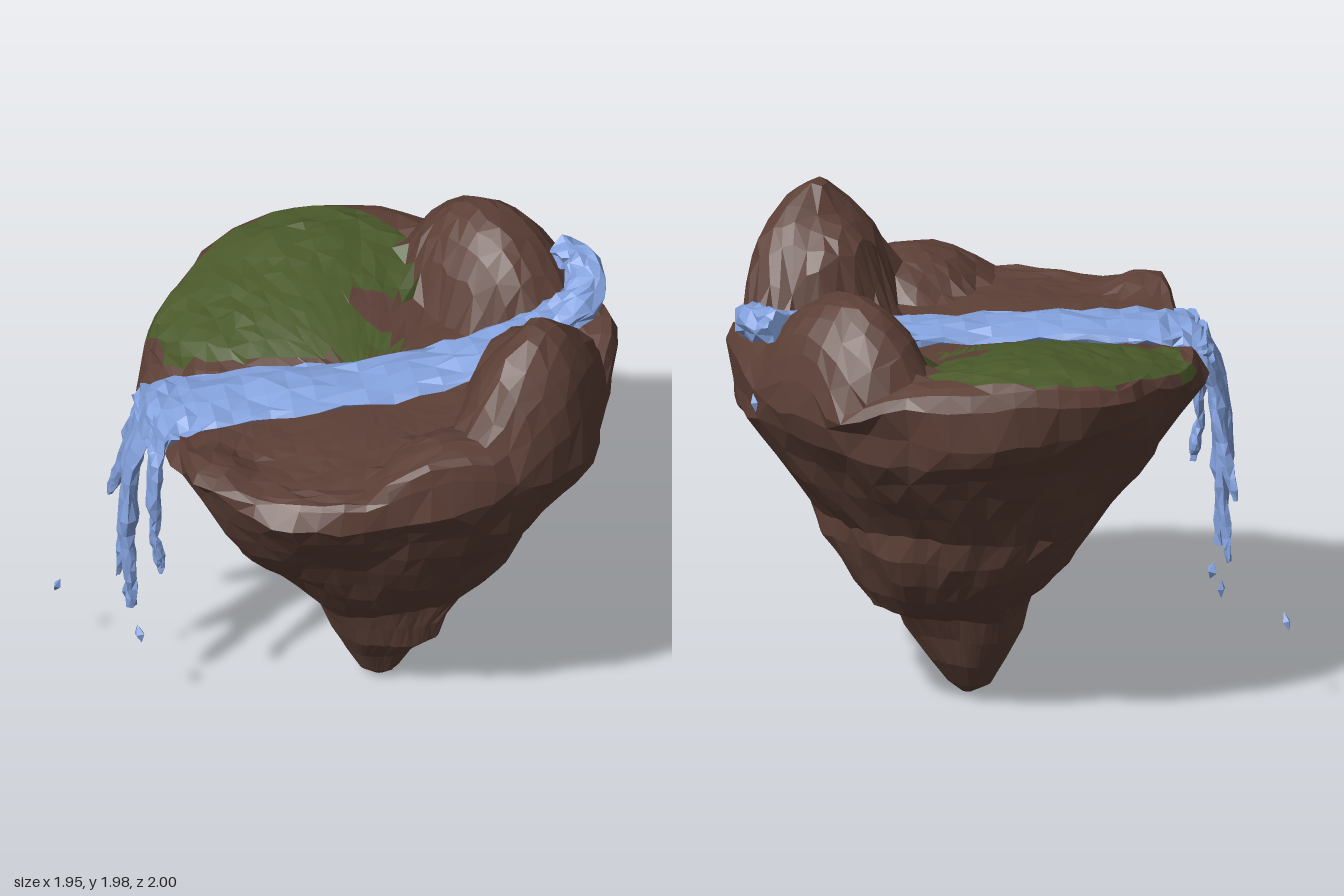
import * as THREE from 'three';

const rock = new THREE.MeshStandardMaterial({ color: 0x5d4037 });
rock.name = 'brown rock';
const grass = new THREE.MeshStandardMaterial({ color: 0x4b5a2b });
grass.name = 'moss green';
const water = new THREE.MeshStandardMaterial({ color: 0x85a3df });
water.name = 'water blue';

const V = (x, y, z) => new THREE.Vector3(x, y, z);
let seed = 7;
const jitter = (a) => {
  seed = (seed * 16807) % 2147483647;
  return (seed / 2147483647 - 0.5) * 2 * a;
};
const average = (points) => points.reduce((s, p) => s.add(p), V(0, 0, 0)).divideScalar(points.length);

// Skin a list of equal rings (with closed ends) in flat facets, sorted by material index.
function loft(rings, pick = () => 0) {
  const sorted = [[], []];
  const tri = (a, b, c) => sorted[pick(average([a, b, c]))].push(a, b, c);
  const n = rings[0].length;
  for (let i = 0; i < rings.length - 1; i++) {
    for (let j = 0; j < n; j++) {
      const k = (j + 1) % n;
      const [a, b, c, d] = [rings[i][j], rings[i][k], rings[i + 1][j], rings[i + 1][k]];
      if ((i + j) % 2) { tri(a, c, b); tri(b, c, d); }
      else { tri(a, c, d); tri(a, d, b); }
    }
  }
  const first = rings[0], last = rings[rings.length - 1];
  const c0 = average(first), c1 = average(last);
  for (let j = 0; j < n; j++) {
    const k = (j + 1) % n;
    tri(c0, first[j], first[k]);
    tri(c1, last[k], last[j]);
  }
  const g = new THREE.BufferGeometry().setFromPoints(sorted.flat());
  g.addGroup(0, sorted[0].length, 0);
  if (sorted[1].length) g.addGroup(sorted[0].length, sorted[1].length, 1);
  g.computeVertexNormals();
  return g;
}

// Island rim, x and z pairs, running from the left side through the front.
const rim = [
  [0.97, -0.1], [0.95, 0.03], [0.9, 0.2], [0.77, 0.4], [0.6, 0.65], [0.4, 0.82], [0.2, 0.92], [0.06, 0.97], [-0.03, 1.0],
  [-0.13, 0.93], [-0.27, 0.82], [-0.45, 0.71], [-0.62, 0.57], [-0.78, 0.42], [-0.88, 0.22], [-0.91, 0],
  [-0.95, -0.12], [-0.91, -0.32], [-0.79, -0.52], [-0.6, -0.73], [-0.4, -0.84], [-0.27, -0.99], [0, -0.97],
  [0.3, -0.95], [0.5, -0.86], [0.65, -0.76], [0.75, -0.57], [0.88, -0.4],
];
// Grass edge
const lawn = [
  [-0.33, -0.66], [-0.6, -0.63], [-0.8, -0.45], [-0.91, -0.2], [-0.87, 0.1], [-0.83, 0.4], [-0.67, 0.42],
  [-0.62, 0.5], [-0.42, 0.3], [-0.1, 0.02], [0.06, -0.22], [-0.24, -0.18], [-0.31, -0.26], [-0.12, -0.44], [-0.35, -0.6],
];

function onLawn(p) {
  let inside = false;
  lawn.forEach(([x1, z1], i) => {
    const [x2, z2] = lawn[(i + 1) % lawn.length];
    if ((z1 > p.z) !== (z2 > p.z) && p.x < x1 + ((p.z - z1) / (z2 - z1)) * (x2 - x1)) inside = !inside;
  });
  return inside;
}

// Pull points lying close to the grass edge onto it so that the border is clean.
function snapToLawn(p) {
  let best = 0.024, hit = null;
  lawn.forEach(([x, z], i) => {
    const [x2, z2] = lawn[(i + 1) % lawn.length];
    const q = new THREE.Line3(V(x, 0, z), V(x2, 0, z2)).closestPointToPoint(V(p.x, 0, p.z), true, V(0, 0, 0));
    const d = Math.hypot(q.x - p.x, q.z - p.z);
    if (d < best) { best = d; hit = q; }
  });
  if (hit) { p.x = hit.x; p.z = hit.z; }
}

// Centre x, centre z, radius x, radius z, height, roundness
const hills = [
  [0.02, -0.72, 0.41, 0.29, 0.38, 0.7],
  [0.75, -0.17, 0.26, 0.38, 0.46, 0.55],
  [0.62, -0.2, 0.18, 0.26, 0.39, 0.45],
  [0.7, 0.32, 0.26, 0.32, 0.16, 0.7],
  [0.53, -0.74, 0.25, 0.28, 0.12, 0.7],
  [-0.6, -0.4, 0.58, 0.8, 0.155, 1],
];
// Small additions: summit, front tip, dip under the falls
const details = [
  [0.77, -0.17, 0.12, 0.14, 0.06, 0.6],
  [-0.02, 0.9, 0.18, 0.16, 0.06, 1],
  [-0.42, 0.66, 0.25, 0.25, -0.04, 1],
];
const dome = ([cx, cz, rx, rz, h, k], x, z) => h * Math.max(0, 1 - ((x - cx) / rx) ** 2 - ((z - cz) / rz) ** 2) ** k;

function ground(x, z, s) {
  const fade = s > 0.99 ? 0.65 : s > 0.96 ? 0.9 : 1;
  let y = Math.max(...hills.map((h) => dome(h, x, z)));
  for (const d of details) y += dome(d, x, z);
  const rounding = s > 0.99 ? 0.025 : 0;
  return 1.455 + y * fade - rounding + 0.012 * Math.sin(7 * x + 3) * Math.cos(8 * z);
}

function makeIsland() {
  const curve = new THREE.CatmullRomCurve3(rim.map(([x, z]) => V(x, 0, z)), true);
  const n = 68;
  const outline = curve.getSpacedPoints(n).slice(0, n);
  // The underside follows a softened copy of the rim.
  const soft = outline.map((_, i) => average([-5, -3, -1, 0, 1, 3, 5].map((k) => outline[(i + k + n) % n])));
  const box = new THREE.Box3().setFromPoints(soft);
  // Underside: height, then least and greatest x, least and greatest z
  const levels = [
    [0.0, 0.03, 0.07, -0.04, 0.0], [0.05, -0.06, 0.13, -0.1, 0.06], [0.16, -0.13, 0.19, -0.18, 0.12],
    [0.28, -0.2, 0.31, -0.24, 0.19], [0.38, -0.23, 0.33, -0.3, 0.23], [0.46, -0.28, 0.36, -0.46, 0.27],
    [0.54, -0.37, 0.44, -0.52, 0.34], [0.63, -0.46, 0.51, -0.57, 0.42], [0.73, -0.52, 0.56, -0.62, 0.51],
    [0.83, -0.58, 0.62, -0.63, 0.6], [0.94, -0.65, 0.69, -0.71, 0.68], [1.05, -0.72, 0.78, -0.79, 0.75],
    [1.16, -0.79, 0.85, -0.86, 0.82], [1.27, -0.87, 0.9, -0.94, 0.9], [1.37, -0.92, 0.95, -0.97, 0.96],
  ];
  const rings = levels.map(([y, x0, x1, z0, z1], i) => soft.map((p) => {
    const x = THREE.MathUtils.mapLinear(p.x, box.min.x, box.max.x, x0, x1);
    const z = THREE.MathUtils.mapLinear(p.z, box.min.z, box.max.z, z0, z1);
    const a = Math.atan2(p.z, p.x);
    const lean = y < 1.3 ? 0.025 * Math.cos(a + Math.PI / 4) * Math.abs(Math.sin(2 * a)) : 0;
    const bulge = 1 + lean + 0.018 * Math.sin(5 * a + 6 * y) + 0.014 * Math.sin(9 * a - 11 * y) + jitter(0.01);
    const lift = Math.min(1, y) * (0.022 * Math.sin(4 * a + i) + jitter(0.012));
    return V(x * bulge, y + lift, z * bulge);
  }));
  // Rim and top, shrinking toward a point under the stream
  for (const s of [1, 0.975, 0.94, 0.89, 0.84, 0.79, 0.73, 0.67, 0.61, 0.54, 0.47, 0.4, 0.32, 0.23, 0.13, 0.05]) {
    const rough = Math.min(1, s * s * 2);
    rings.push(outline.map((o) => {
      const wobble = s < 0.95 ? 0.011 * rough : 0;
      const p = V(o.x * s + 0.06 * (1 - s) + jitter(wobble), 0, o.z * s + 0.07 * (1 - s) + jitter(wobble));
      if (s < 0.96 && s > 0.2) snapToLawn(p);
      p.y = ground(p.x, p.z, s) + jitter(0.008 * rough);
      return p;
    }));
  }
  const mesh = new THREE.Mesh(loft(rings, (p) => (p.y > 1.42 && onLawn(p) ? 1 : 0)), [rock, grass]);
  mesh.name = 'island';
  return mesh;
}

// Flat strand of water; each point is x, y, z, half width, half thickness.
function strand(name, pts, steps, sides, rough, side) {
  const path = new THREE.CatmullRomCurve3(pts.map((p) => V(p[0], p[1], p[2])));
  const size = new THREE.CatmullRomCurve3(pts.map((p) => V(p[3], p[4], 0)));
  const rings = [];
  for (let i = 0; i <= steps; i++) {
    const t = i / steps, c = path.getPoint(t), dir = path.getTangent(t), r = size.getPoint(t);
    const w = side ? side.clone() : dir.clone().cross(V(0, 1, 0)).normalize();
    const up = w.clone().cross(dir).normalize();
    const ring = [];
    for (let j = 0; j < sides; j++) {
      const a = (j / sides) * Math.PI * 2;
      ring.push(c.clone().addScaledVector(w, Math.cos(a) * r.x + jitter(rough))
        .addScaledVector(up, Math.sin(a) * r.y + jitter(rough)));
    }
    rings.push(ring);
  }
  const mesh = new THREE.Mesh(loft(rings), water);
  mesh.name = name;
  return mesh;
}

export function createModel() {
  const model = new THREE.Group();
  model.name = 'floating island';
  model.add(makeIsland());

  // Stream from the back hill to the front right lip
  model.add(strand('stream', [
    [0.25, 1.68, -0.86, 0.06, 0.06], [0.37, 1.665, -0.86, 0.07, 0.07], [0.48, 1.62, -0.75, 0.09, 0.065],
    [0.43, 1.56, -0.58, 0.085, 0.05], [0.37, 1.52, -0.42, 0.135, 0.045], [0.22, 1.485, -0.15, 0.135, 0.035],
    [0.02, 1.475, 0.14, 0.15, 0.035], [-0.2, 1.47, 0.4, 0.16, 0.035], [-0.36, 1.455, 0.6, 0.18, 0.035],
    [-0.45, 1.435, 0.71, 0.2, 0.035], [-0.49, 1.37, 0.76, 0.2, 0.03],
  ], 36, 14, 0.015));

  // Falling strands hang from the lip
  const falls = new THREE.Group();
  falls.name = 'waterfall';
  const across = V(0.77, 0, 0.64);
  const strands = [
    [[-0.57, 1.44, 0.64, 0.06, 0.03], [-0.62, 1.25, 0.67, 0.07, 0.03], [-0.69, 1.04, 0.65, 0.05, 0.03], [-0.78, 0.83, 0.63, 0.008, 0.01]],
    [[-0.51, 1.44, 0.7, 0.08, 0.03], [-0.56, 1.2, 0.75, 0.1, 0.035], [-0.58, 0.9, 0.74, 0.09, 0.03], [-0.63, 0.7, 0.72, 0.04, 0.02], [-0.67, 0.53, 0.7, 0.01, 0.01]],
    [[-0.45, 1.44, 0.76, 0.08, 0.03], [-0.5, 1.2, 0.83, 0.06, 0.03], [-0.52, 0.9, 0.83, 0.06, 0.03], [-0.5, 0.7, 0.83, 0.04, 0.025], [-0.5, 0.53, 0.82, 0.02, 0.015]],
    [[-0.37, 1.45, 0.8, 0.1, 0.03], [-0.35, 1.3, 0.86, 0.08, 0.03], [-0.33, 1.1, 0.88, 0.04, 0.025], [-0.33, 0.98, 0.88, 0.02, 0.015], [-0.32, 0.89, 0.87, 0.035, 0.02], [-0.31, 0.82, 0.87, 0.015, 0.015]],
  ];
  strands.forEach((p, i) => falls.add(strand('fallStrand' + (i + 1), p, 14, 8, 0.009, across)));
  model.add(falls);

  // Loose drops: position, tilt, width
  const drops = [
    [-0.96, 0.35, 0.73, 0.4, 0.4], [-0.67, 0.43, 0.66, 0, 0.35], [-0.46, 0.41, 0.82, -0.3, 0.65], [0.31, 1.37, -0.94, 0.2, 0.5],
  ];
  drops.forEach(([x, y, z, tilt, wide], i) => {
    const drop = new THREE.Mesh(new THREE.OctahedronGeometry(0.04), water);
    drop.scale.set(wide, 1, 0.5);
    drop.rotation.z = -tilt;
    drop.position.set(x, y, z);
    drop.name = 'drop' + (i + 1);
    model.add(drop);
  });
  return model;
}
